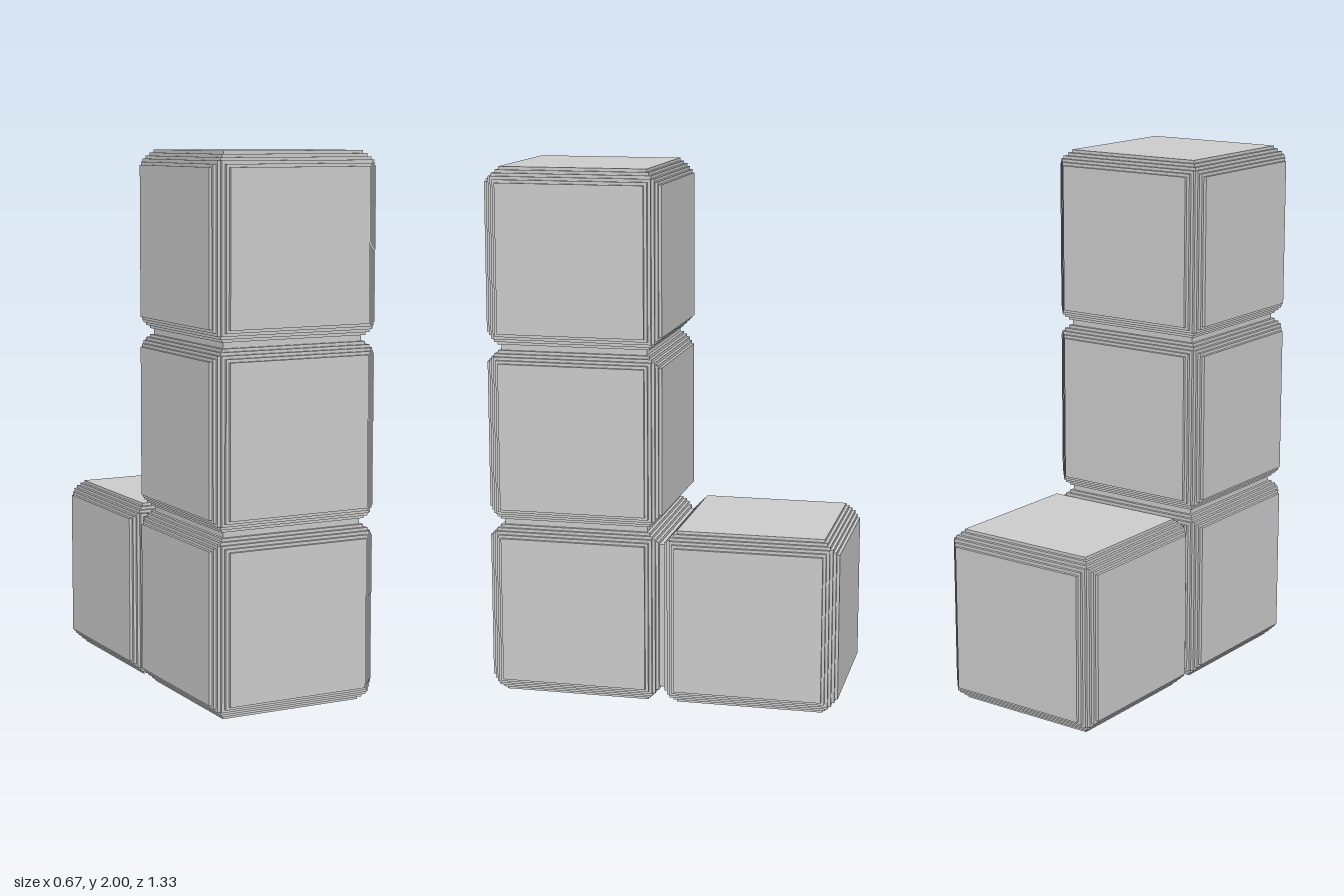
import * as THREE from 'three';

const SIDE = 2 / 3;      // edge length of one cube
const STEPS = 5;         // stair steps along every bevelled edge
const STEP = SIDE / 60;  // size of one step

const material = new THREE.MeshStandardMaterial({ color: 0xcccccc, flatShading: true });

// Cube with stair-stepped bevels: crossing boxes whose insets trade off between axes
function steppedCube(name, y, z) {
  const cube = new THREE.Group();
  cube.name = name;
  for (let i = 0; i <= STEPS / 2; i++) {
    const long = SIDE - 2 * STEP * i;
    const short = SIDE - 2 * STEP * (STEPS - i);
    for (let axis = 0; axis < 3; axis++) {
      const size = [short, short, short];
      size[axis] = long;
      const layer = new THREE.Mesh(new THREE.BoxGeometry(...size), material);
      layer.name = 'bevelLayer' + 'XYZ'[axis] + i;
      cube.add(layer);
    }
  }
  cube.position.set(0, y, z);
  return cube;
}

export function createModel() {
  const model = new THREE.Group();
  model.name = 'lShapedBlock';

  // Column of three cubes at the front
  ['bottomCube', 'middleCube', 'topCube'].forEach((name, i) => {
    model.add(steppedCube(name, SIDE * (i + 0.5), SIDE / 2));
  });

  // Single foot cube behind the column
  model.add(steppedCube('footCube', SIDE / 2, -SIDE / 2));

  return model;
}
